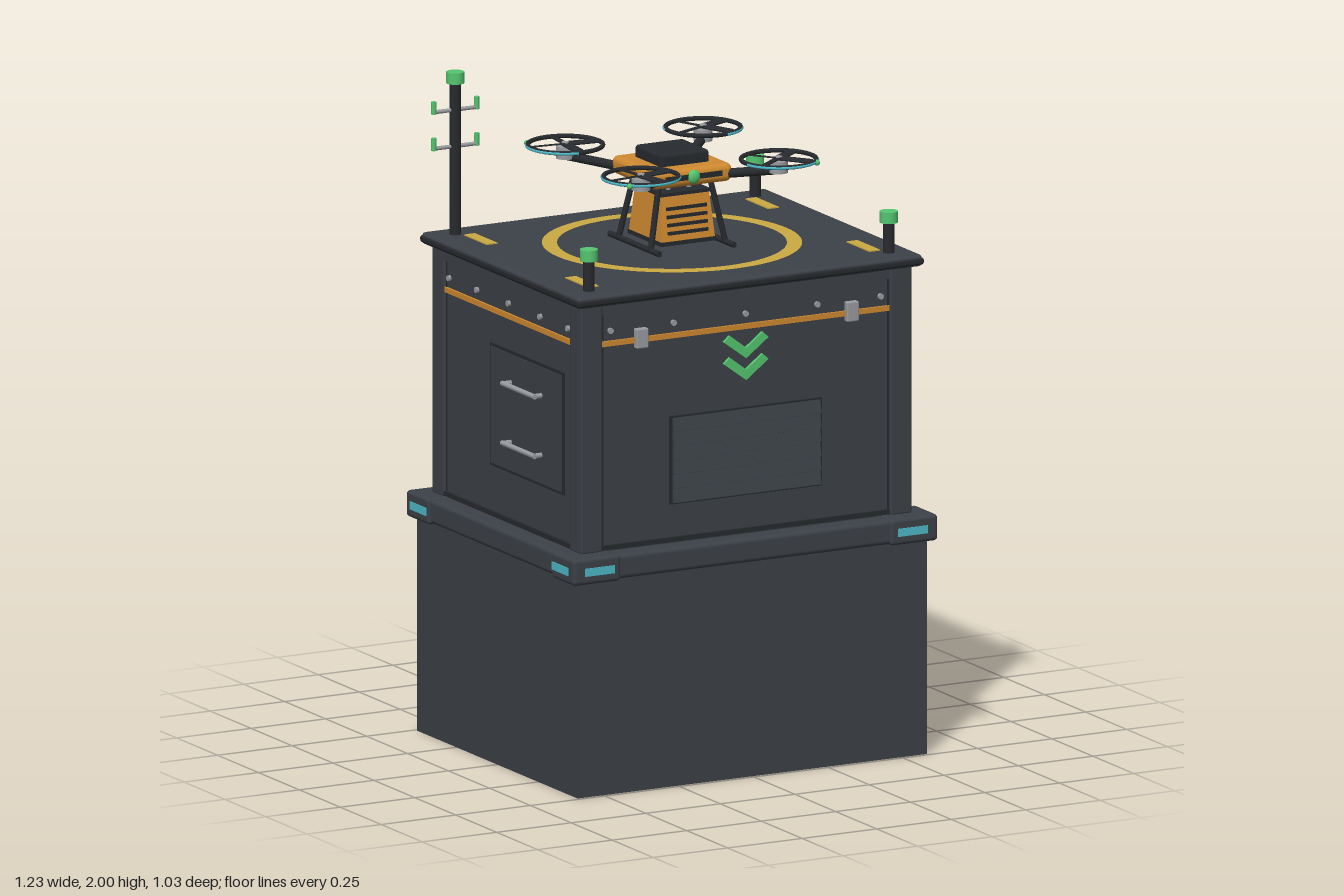
import * as THREE from 'three';
import { RoundedBoxGeometry } from 'three/addons/geometries/RoundedBoxGeometry.js';

const paint = (name, color) => Object.assign(new THREE.MeshStandardMaterial({ color }), { name });
const M = {
  shell: paint('dark grey shell', 0x3c4148),
  black: paint('black trim', 0x272a2e),
  orange: paint('orange', 0xd08a30),
  yellow: paint('marking yellow', 0xcbab43),
  green: paint('signal green', 0x55c670),
  cyan: paint('light cyan', 0x4db9c8),
  screen: paint('screen teal', 0x0f3c48),
  metal: paint('bare metal', 0x999b9f),
};

function add(parent, name, geo, mat, x = 0, y = 0, z = 0) {
  const m = new THREE.Mesh(geo, mat);
  m.name = name;
  m.position.set(x, y, z);
  parent.add(m);
  return m;
}
function group(parent, name, x = 0, y = 0, z = 0) {
  const g = new THREE.Group();
  g.name = name;
  g.position.set(x, y, z);
  parent.add(g);
  return g;
}
const box = (w, h, d) => new THREE.BoxGeometry(w, h, d);
const rbox = (w, h, d, r) => new RoundedBoxGeometry(w, h, d, 2, r);
const cyl = (r, h, n = 20) => new THREE.CylinderGeometry(r, r, h, n);
const signs = [[-1, -1], [1, -1], [-1, 1], [1, 1]];

// Straight rod between two points
function rod(parent, name, a, b, r, mat, n = 10) {
  const p = new THREE.Vector3(...a), q = new THREE.Vector3(...b);
  const m = add(parent, name, cyl(r, p.distanceTo(q), n), mat);
  m.position.copy(p).add(q).multiplyScalar(0.5);
  m.quaternion.setFromUnitVectors(new THREE.Vector3(0, 1, 0), q.sub(p).normalize());
  return m;
}
// Thin painted line on a face
function line(parent, x1, y1, x2, y2, z) {
  const m = add(parent, 'screenLine', box(Math.hypot(x2 - x1, y2 - y1) + 0.01, 0.011, 0.004), M.cyan, (x1 + x2) / 2, (y1 + y2) / 2, z);
  m.rotation.z = Math.atan2(y2 - y1, x2 - x1);
}
// Wall group whose local +z points outward
function wall(parent, name, angle, depth, half) {
  const g = group(parent, name);
  g.rotation.y = angle;
  add(g, 'orangeStripe', box(half * 2, 0.016, 0.008), M.orange, 0, 1.352, depth + 0.003);
  add(g, 'topRail', box(half * 2, 0.035, 0.014), M.shell, 0, 1.458, depth + 0.002);
  add(g, 'bottomRail', box(half * 2, 0.014, 0.012), M.black, 0, 0.736, depth + 0.003);
  for (const s of [-1, 1]) add(g, 'panelSeam', box(0.006, 0.7, 0.004), M.black, s * (half - 0.003), 1.09, depth + 0.001);
  for (const t of [-0.94, -0.5, 0, 0.5, 0.94]) {
    const b = add(g, 'bolt', cyl(0.009, 0.01, 10), M.metal, t * half, 1.39, depth + 0.004);
    b.rotation.x = Math.PI / 2;
  }
  return g;
}
function latchesAndChevrons(g, d) {
  for (const s of [-1, 1]) add(g, 'latch', rbox(0.04, 0.06, 0.022, 0.004), M.metal, s * 0.353, 1.358, d + 0.009);
  const v = new THREE.Shape([[-0.075, 0.05], [-0.055, 0.068], [0, 0.026], [0.055, 0.068], [0.075, 0.05], [0, -0.006]]
    .map(p => new THREE.Vector2(...p)));
  for (const y of [1.262, 1.196]) add(g, 'chevron', new THREE.ExtrudeGeometry(v, { depth: 0.009, bevelEnabled: false }), M.green, 0, y, d);
}

function buildCabinet(root) {
  const c = group(root, 'cabinet');
  add(c, 'base', box(1.172, 0.65, 0.98), M.shell, 0, 0.325, 0);
  add(c, 'ledge', rbox(1.204, 0.074, 1.01, 0.014), M.shell, 0, 0.687, 0);
  add(c, 'body', box(1.09, 0.76, 0.89), M.shell, 0, 1.1, 0);
  add(c, 'lidGasket', box(1.1, 0.012, 0.9), M.black, 0, 1.474, 0);
  add(c, 'lid', rbox(1.156, 0.036, 0.966, 0.012), M.shell, 0, 1.491, 0);
  add(c, 'lidEdge', rbox(1.162, 0.022, 0.972, 0.008), M.black, 0, 1.489, 0);
  for (const [sx, sz] of signs) {
    add(c, 'cornerPost', rbox(0.072, 0.75, 0.072, 0.006), M.shell, sx * 0.519, 1.1, sz * 0.42);
    add(c, 'ledgeCorner', rbox(0.16, 0.08, 0.14, 0.012), M.shell, sx * 0.532, 0.687, sz * 0.444);
    add(c, 'ledgeLightFront', box(0.1, 0.024, 0.008), M.cyan, sx * 0.525, 0.686, sz * 0.513);
    add(c, 'ledgeLightSide', box(0.008, 0.024, 0.098), M.cyan, sx * 0.611, 0.686, sz * 0.434);
  }

  // Front: louvred vent
  const front = wall(c, 'frontWall', 0, 0.445, 0.482);
  latchesAndChevrons(front, 0.445);
  add(front, 'ventFrame', box(0.51, 0.266, 0.01), M.black, 0, 0.975, 0.447);
  for (let i = 0; i < 6; i++) {
    const s = add(front, 'ventSlat', box(0.494, 0.041, 0.01), M.shell, 0, 0.868 + i * 0.043, 0.455);
    s.rotation.x = -0.2;
  }

  // Back: fan
  const back = wall(c, 'backWall', Math.PI, 0.445, 0.482);
  latchesAndChevrons(back, 0.445);
  const fan = group(back, 'fan', 0, 1.02, 0.445);
  add(fan, 'fanPlate', rbox(0.28, 0.28, 0.03, 0.01), M.metal, 0, 0, 0.004);
  add(fan, 'fanRim', new THREE.TorusGeometry(0.113, 0.011, 8, 36), M.black, 0, 0, 0.02);
  add(fan, 'fanDisc', cyl(0.112, 0.012, 36), M.shell, 0, 0, 0.018).rotation.x = Math.PI / 2;
  for (const [a, b] of signs) add(fan, 'fanBolt', cyl(0.013, 0.01, 12), M.black, a * 0.115, b * 0.115, 0.02).rotation.x = Math.PI / 2;

  // Model's left: screen with a parcel symbol
  const left = wall(c, 'screenWall', Math.PI / 2, 0.545, 0.386);
  add(left, 'screenFrame', rbox(0.55, 0.356, 0.03, 0.008), M.black, 0, 1.038, 0.553);
  add(left, 'screen', box(0.5, 0.31, 0.006), M.screen, 0, 1.036, 0.567);
  const icon = group(left, 'screenSymbol', 0, 1.003, 0.571);
  const hex = [0, 1, 2, 3, 4, 5].map(i => [0.078 * Math.sin(i * Math.PI / 3), 0.086 * Math.cos(i * Math.PI / 3)]);
  hex.forEach((p, i) => {
    line(icon, ...p, ...hex[(i + 1) % 6], 0);
    if (i % 2) line(icon, 0, 0, ...p, 0);
  });
  line(icon, 0, 0.09, 0, 0.165, 0);
  for (const s of [-1, 1]) {
    line(icon, 0, 0.17, s * 0.03, 0.14, 0);
    for (const r of [0.12, 0.165]) {
      add(icon, 'signalArc', new THREE.RingGeometry(r - 0.006, r + 0.006, 16, 1, (s > 0 ? 0 : Math.PI) - 0.6, 1.2), M.cyan, 0, 0, 0.002);
    }
  }

  // Model's right: service hatch with two handles
  const right = wall(c, 'handleWall', -Math.PI / 2, 0.545, 0.386);
  add(right, 'hatchFrame', box(0.45, 0.37, 0.008), M.black, 0.115, 1.065, 0.546);
  add(right, 'hatch', box(0.432, 0.352, 0.01), M.shell, 0.115, 1.065, 0.548);
  for (const y of [0.975, 1.155]) {
    rod(right, 'handleBar', [0.015, y, 0.578], [0.215, y, 0.578], 0.008, M.metal);
    for (const x of [0.022, 0.208]) rod(right, 'handleFoot', [x, y, 0.55], [x, y, 0.58], 0.008, M.metal);
  }
}

function buildDeck(root) {
  const deck = group(root, 'landingDeck', 0, 1.509, 0);
  const ring = new THREE.RingGeometry(0.338, 0.383, 72).rotateX(-Math.PI / 2);
  add(deck, 'landingRing', ring, M.yellow, 0, 0.003, 0);
  for (const [sx, sz] of signs) {
    add(deck, 'deckMark', box(0.036, 0.005, 0.138), M.yellow, sx * 0.472, 0.001, sz * 0.309);
    const mast = sx < 0 && sz < 0, h = mast ? 0.458 : 0.092;
    const post = group(deck, mast ? 'antennaMast' : 'cornerBeacon', sx * 0.503, 0, sz * 0.408);
    add(post, 'post', cyl(0.017, h), M.black, 0, h / 2, 0);
    add(post, 'beaconCap', cyl(0.027, 0.034), M.green, 0, h + 0.016, 0);
    if (!mast) continue;
    for (const y of [0.266, 0.376]) {
      rod(post, 'crossBar', [-0.072, y, 0], [0.072, y, 0], 0.006, M.metal);
      for (const s of [-1, 1]) rod(post, 'aerialTip', [s * 0.072, y - 0.006, 0], [s * 0.072, y + 0.032, 0], 0.008, M.green);
    }
  }
}

function buildDrone(root) {
  const d = group(root, 'drone');
  add(d, 'droneBody', rbox(0.268, 0.056, 0.268, 0.02), M.orange, 0, 1.736, 0);
  add(d, 'topHatch', rbox(0.163, 0.045, 0.163, 0.01), M.black, 0, 1.778, 0);
  for (const s of [-1, 1]) add(d, 'bodyVent', box(0.19, 0.016, 0.008), M.black, 0, 1.738, s * 0.132);
  const lamp = add(d, 'noseLamp', new THREE.SphereGeometry(0.021, 16, 10), M.green, 0, 1.737, 0.132);
  lamp.scale.z = 0.6;

  // Rotors at the four corners
  for (const [sx, sz] of signs) {
    rod(d, 'arm', [sx * 0.1, 1.728, sz * 0.1], [sx * 0.225, 1.752, sz * 0.225], 0.014, M.black);
    const r = group(d, 'rotor', sx * 0.231, 1.785, sz * 0.231);
    add(r, 'motor', cyl(0.028, 0.036), M.metal, 0, -0.022, 0);
    add(r, 'hub', cyl(0.011, 0.018, 12), M.metal, 0, 0, 0);
    add(r, 'guardRing', new THREE.TorusGeometry(0.111, 0.007, 8, 40).rotateX(Math.PI / 2), M.black);
    const glow = new THREE.TorusGeometry(0.115, 0.0045, 6, 32, 4.4).rotateX(-Math.PI / 2).rotateY(Math.atan2(-sz, sx) - 2.2);
    add(r, 'guardLight', glow, M.cyan, 0, -0.001, 0);
    add(r, 'tipLamp', new THREE.SphereGeometry(0.009, 10, 8), M.green, sx * 0.083, -0.003, sz * 0.083);
    for (let i = 0; i < 4; i++) {
      const a = 0.27 + (sx + sz * 0.5) * 0.25 + i * Math.PI / 2;
      const b = add(r, 'blade', box(0.1, 0.004, 0.026), M.black, Math.cos(a) * 0.055, 0.003, -Math.sin(a) * 0.055);
      b.rotation.set(0.2, a, 0, 'YXZ');
    }
  }

  // Tapered cargo box hung under the body
  const crate = box(0.18, 0.14, 0.2), p = crate.attributes.position;
  for (let i = 0; i < p.count; i++) if (p.getY(i) > 0) p.setXYZ(i, p.getX(i) * 0.88, p.getY(i), p.getZ(i) * 0.82);
  crate.computeVertexNormals();
  add(d, 'cargoBox', crate, M.orange, 0, 1.607, 0);
  add(d, 'cargoBase', box(0.186, 0.012, 0.206), M.black, 0, 1.535, 0);
  add(d, 'cargoLid', box(0.164, 0.01, 0.17), M.black, 0, 1.679, 0);
  for (const s of [-1, 1]) {
    for (let i = 0; i < 4; i++) {
      const y = 1.565 + i * 0.024;
      add(d, 'cargoSlat', box(0.135, 0.01, 0.008), M.black, 0, y, s * (0.1 - (y - 1.537) * 0.13));
    }
    for (const z of [-0.04, 0.04]) rod(d, 'cargoHanger', [s * 0.035, 1.68, z], [s * 0.035, 1.715, z], 0.007, M.metal);
    // Landing gear
    rod(d, 'skid', [s * 0.125, 1.521, -0.152], [s * 0.125, 1.521, 0.152], 0.009, M.black);
    for (const t of [-1, 1]) rod(d, 'leg', [s * 0.085, 1.715, t * 0.075], [s * 0.125, 1.522, t * 0.098], 0.009, M.black);
  }
}

export function createModel() {
  const root = new THREE.Group();
  root.name = 'droneDeliveryStation';
  buildCabinet(root);
  buildDeck(root);
  buildDrone(root);
  return root;
}
